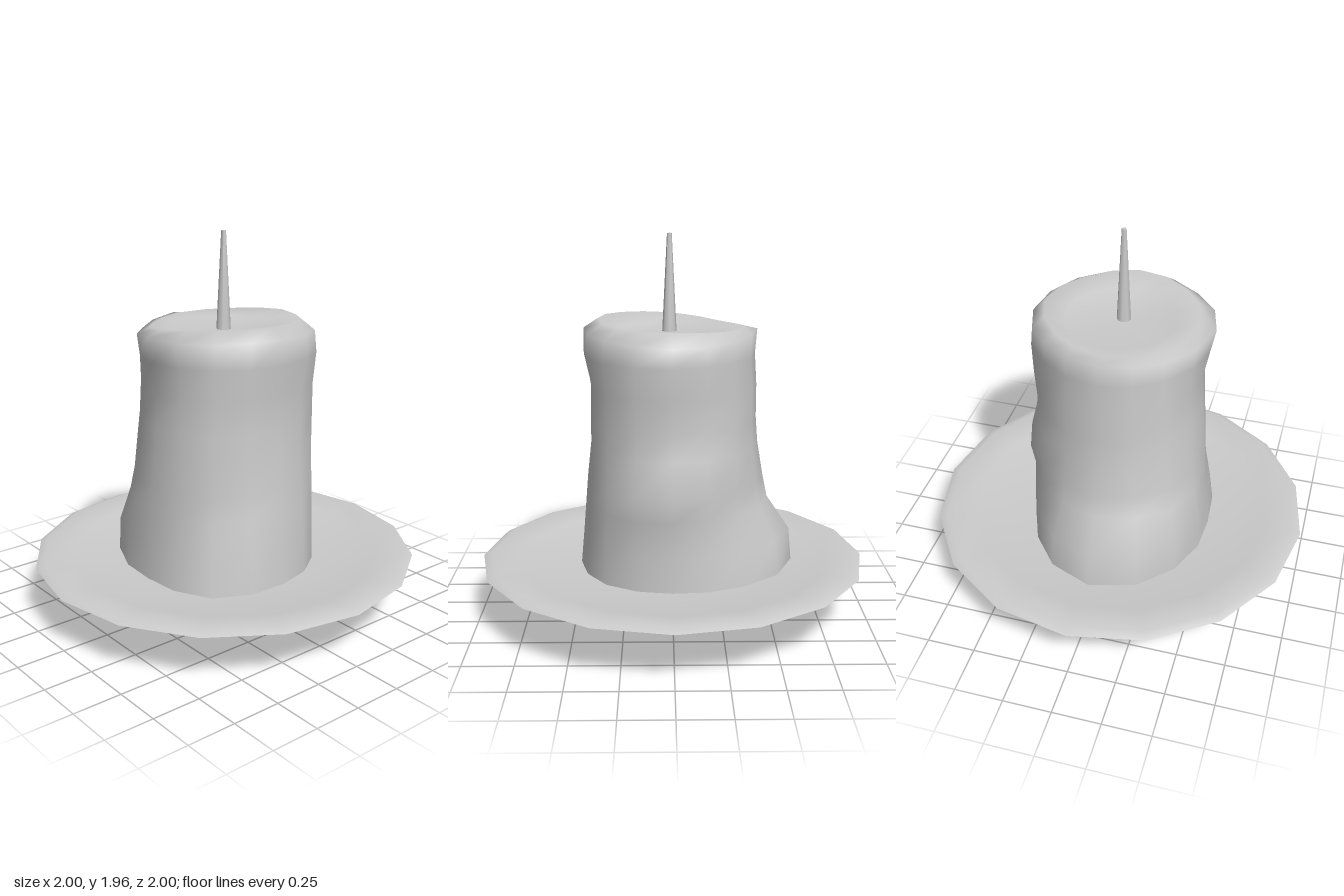
import * as THREE from 'three';
import { toCreasedNormals } from 'three/addons/utils/BufferGeometryUtils.js';

const SIDES = 16;

// Smoothly samples 8 values spaced around a circle at t in 0..1
function around(values, t) {
  const n = values.length, f = t * n, i = Math.floor(f), u = f - i;
  const [a, b, c, d] = [-1, 0, 1, 2].map(k => values[(i + k + n) % n]);
  return b + 0.5 * u * (c - a + u * (2 * a - 5 * b + 4 * c - d + u * (3 * (b - c) + d - a)));
}

// Skins closed rings (bottom to top) and caps the last one at a centre point
function skinRings(rings, centre) {
  const pos = [], index = [];
  for (const { y, r } of rings) {
    for (let i = 0; i < SIDES; i++) {
      const t = i / SIDES, a = t * Math.PI * 2, rad = around(r, t);
      pos.push(0.005 + Math.cos(a) * rad, around(y, t), Math.sin(a) * rad);
    }
  }
  pos.push(...centre);
  const last = rings.length - 1, tip = rings.length * SIDES;
  for (let j = 0; j <= last; j++) {
    for (let i = 0; i < SIDES; i++) {
      const k = (i + 1) % SIDES, a = j * SIDES + i, b = j * SIDES + k;
      if (j === last) index.push(a, tip, b);
      else index.push(a, a + SIDES, b, b, a + SIDES, b + SIDES);
    }
  }
  const g = new THREE.BufferGeometry();
  g.setAttribute('position', new THREE.Float32BufferAttribute(pos, 3));
  g.setIndex(index);
  g.computeVertexNormals();
  return g;
}

export function createModel() {
  const group = new THREE.Group();
  const material = new THREE.MeshStandardMaterial({ color: 0xcccccc, side: THREE.DoubleSide });
  const add = (name, geometry) => {
    const mesh = new THREE.Mesh(geometry, material);
    mesh.name = name;
    group.add(mesh);
    return mesh;
  };

  // Shallow plate with a rounded foot
  const profile = [
    [0, 0.005], [0.2, 0.01], [0.37, 0.025], [0.43, 0.055], [0.445, 0.1], [0.48, 0.135],
    [0.62, 0.18], [0.82, 0.23], [1, 0.275], [0.955, 0.293], [0.8, 0.27], [0.6, 0.245], [0.4, 0.235], [0, 0.23],
  ].map(([x, y]) => new THREE.Vector2(x, y));
  add('plate', toCreasedNormals(new THREE.LatheGeometry(profile, SIDES), 0.8));

  // Melted candle: height, then radii from +x round through +z
  const flat = y => Array(8).fill(y);
  const body = [
    [0.2, 0.48, 0.55, 0.50, 0.57, 0.64, 0.52, 0.45, 0.47],
    [0.42, 0.46, 0.52, 0.475, 0.56, 0.62, 0.50, 0.45, 0.465],
    [0.6, 0.445, 0.47, 0.46, 0.50, 0.50, 0.46, 0.46, 0.46],
    [0.72, 0.435, 0.46, 0.455, 0.475, 0.475, 0.455, 0.50, 0.455],
    [0.9, 0.415, 0.45, 0.44, 0.455, 0.445, 0.44, 0.455, 0.45],
    [1.03, 0.415, 0.445, 0.43, 0.44, 0.435, 0.43, 0.43, 0.45],
    [1.2, 0.41, 0.44, 0.42, 0.43, 0.435, 0.43, 0.45, 0.45],
    [1.36, 0.445, 0.45, 0.45, 0.42, 0.425, 0.425, 0.465, 0.465],
  ].map(([y, ...r]) => ({ y: flat(y), r }));
  // Uneven lip and the wax pool inside it
  const lip = [
    { y: [1.49, 1.48, 1.485, 1.46, 1.485, 1.46, 1.45, 1.47], r: [0.445, 0.45, 0.475, 0.42, 0.435, 0.42, 0.455, 0.455] },
    { y: [1.54, 1.535, 1.515, 1.49, 1.495, 1.505, 1.52, 1.52], r: [0.37, 0.37, 0.40, 0.36, 0.37, 0.36, 0.39, 0.37] },
    { y: flat(1.48), r: flat(0.28) },
  ];
  add('candle', skinRings([...body, ...lip], [0.015, 1.47, 0.01]));

  // Tapered wick
  const wick = add('wick', toCreasedNormals(new THREE.CylinderGeometry(0.012, 0.037, 0.5, 8), 0.9));
  wick.position.set(0.015, 1.71, 0.012);

  return group;
}
